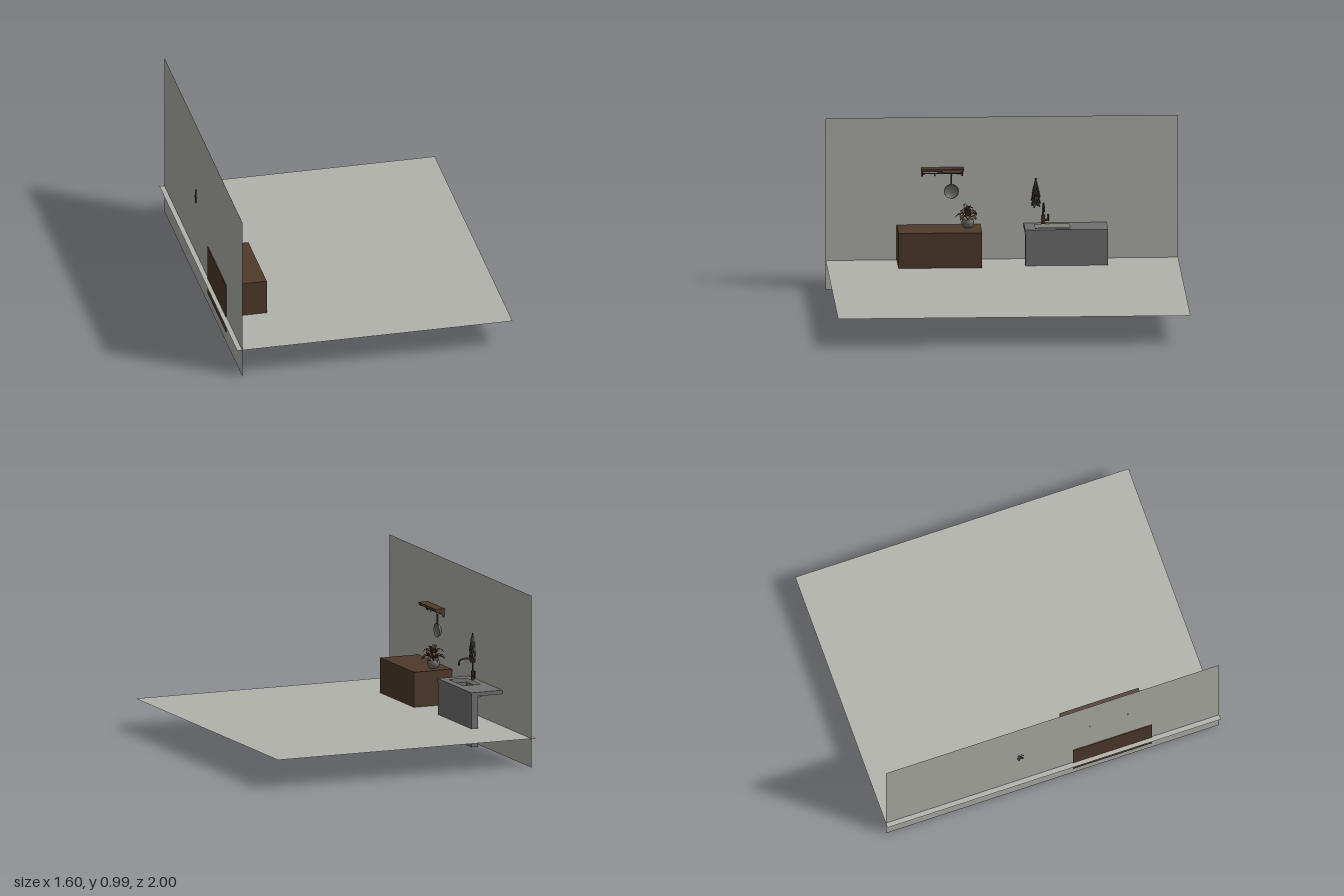
import * as THREE from 'three';

const mat = (name, color, side = THREE.FrontSide) => {
  const m = new THREE.MeshStandardMaterial({ color, side });
  m.name = name;
  return m;
};

export function createModel() {
  const root = new THREE.Group();
  root.name = 'kitchenCorner';
  const plaster = mat('plaster', 0xb2b2ac, THREE.DoubleSide);
  const wood = mat('wood', 0x4f3a2b);
  const stone = mat('stone', 0x707070);
  const bronze = mat('bronze', 0x443222);
  const steel = mat('steel', 0x6a6a68);
  const leafMat = mat('leaf', 0x4e3824, THREE.DoubleSide);
  const herbMat = mat('driedHerb', 0x433b32, THREE.DoubleSide);

  const add = (name, geo, material, x = 0, y = 0, z = 0, parent = root) => {
    const m = new THREE.Mesh(geo, material);
    m.name = name;
    m.position.set(x, y, z);
    parent.add(m);
    return m;
  };
  // Box given by its minimum and maximum corners
  const box = (name, a, b, material, parent) => add(name,
    new THREE.BoxGeometry(b[0] - a[0], b[1] - a[1], b[2] - a[2]), material,
    (a[0] + b[0]) / 2, (a[1] + b[1]) / 2, (a[2] + b[2]) / 2, parent);
  const tube = (name, pts, r, material, parent) => add(name, new THREE.TubeGeometry(
    new THREE.CatmullRomCurve3(pts.map(p => new THREE.Vector3(...p))), 28, r, 8),
    material, 0, 0, 0, parent);

  // Floor and wall sheets
  add('floor', new THREE.PlaneGeometry(1.6, 2).rotateX(-Math.PI / 2), plaster, 0, 0.167, 0);
  add('wall', new THREE.PlaneGeometry(2, 0.992).rotateY(Math.PI / 2), plaster, -0.771, 0.496, 0);

  // Cabinet
  box('cabinet', [-0.775, 0.07, 0.122], [-0.537, 0.37, 0.597], wood);

  // Sink counter: slab with a basin opening, front panel, basin
  const sink = new THREE.Group();
  sink.name = 'sinkCounter';
  root.add(sink);
  const slab = new THREE.Shape();
  const rect = (s, x0, x1, z0, z1) => {
    s.moveTo(x0, -z0); s.lineTo(x1, -z0); s.lineTo(x1, -z1); s.lineTo(x0, -z1); s.closePath();
  };
  rect(slab, -0.768, -0.576, -0.595, -0.123);
  const hole = new THREE.Path();
  rect(hole, -0.727, -0.621, -0.38, -0.184);
  slab.holes.push(hole);
  add('counterTop', new THREE.ExtrudeGeometry(slab, { depth: 0.022, bevelEnabled: false })
    .rotateX(-Math.PI / 2), stone, 0, 0.353, 0, sink);
  box('frontPanel', [-0.618, 0.06, -0.593], [-0.577, 0.353, -0.125], stone, sink);
  const t = 0.004, y0 = 0.305, y1 = 0.354;
  box('basinFloor', [-0.727 - t, y0 - t, -0.38 - t], [-0.621 + t, y0, -0.184 + t], stone, sink);
  for (const [x, s] of [[-0.727, -1], [-0.621, 1]]) {
    const a = Math.min(x, x + s * t);
    box('basinSide', [a, y0, -0.38 - t], [a + t, y1, -0.184 + t], stone, sink);
  }
  for (const [z, s] of [[-0.38, -1], [-0.184, 1]]) {
    const a = Math.min(z, z + s * t);
    box('basinEnd', [-0.727, y0, a], [-0.621, y1, a + t], stone, sink);
  }

  // Faucet: base, arched spout and side lever
  const faucet = new THREE.Group();
  faucet.name = 'faucet';
  root.add(faucet);
  add('faucetBase', new THREE.CylinderGeometry(0.01, 0.011, 0.05, 16), bronze, -0.744, 0.4, -0.234, faucet);
  tube('spout', [[-0.744, 0.41, -0.234], [-0.744, 0.465, -0.234], [-0.736, 0.49, -0.234],
    [-0.718, 0.498, -0.234], [-0.68, 0.498, -0.234], [-0.663, 0.49, -0.234], [-0.658, 0.462, -0.234]],
  0.005, bronze, faucet);
  tube('leverArm', [[-0.744, 0.395, -0.234], [-0.744, 0.395, -0.262]], 0.006, bronze, faucet);
  tube('leverHandle', [[-0.744, 0.39, -0.262], [-0.744, 0.43, -0.262]], 0.004, bronze, faucet);

  // Wall shelf with curved brackets and hanging rail
  const shelf = new THREE.Group();
  shelf.name = 'wallShelf';
  root.add(shelf);
  box('shelfBoard', [-0.77, 0.688, 0.217], [-0.713, 0.702, 0.46], wood, shelf);
  const bracket = new THREE.Shape();
  bracket.moveTo(-0.771, 0.688);
  bracket.lineTo(-0.771, 0.652);
  bracket.lineTo(-0.762, 0.652);
  bracket.quadraticCurveTo(-0.757, 0.678, -0.722, 0.68);
  bracket.lineTo(-0.722, 0.688);
  for (const z of [0.222, 0.449]) {
    add('shelfBracket', new THREE.ExtrudeGeometry(bracket, { depth: 0.006, bevelEnabled: false }),
      wood, 0, 0, z, shelf);
  }
  tube('hangingRail', [[-0.757, 0.669, 0.22], [-0.757, 0.669, 0.455]], 0.004, bronze, shelf);
  for (const z of [0.287, 0.38]) {
    tube('railHook', [[-0.753, 0.673, z], [-0.751, 0.665, z], [-0.753, 0.656, z], [-0.758, 0.657, z]],
      0.002, bronze, shelf);
  }

  // Hanging pan: shallow dish facing the room, with a handle
  const pan = new THREE.Group();
  pan.name = 'hangingPan';
  pan.position.set(-0.766, 0.566, 0.287);
  root.add(pan);
  const panProfile = [[0, 0], [0.032, 0], [0.041, 0.017], [0.038, 0.017], [0.03, 0.004], [0, 0.004]]
    .map(p => new THREE.Vector2(...p));
  add('panDish', new THREE.LatheGeometry(panProfile, 28).rotateZ(-Math.PI / 2), steel, 0, 0, 0, pan);
  box('panHandle', [0.009, 0.036, -0.004], [0.014, 0.094, 0.004], bronze, pan);

  // Potted plant
  const plant = new THREE.Group();
  plant.name = 'pottedPlant';
  plant.position.set(-0.69, 0.37, 0.197);
  root.add(plant);
  const potProfile = [[0, 0], [0.024, 0], [0.033, 0.014], [0.036, 0.03], [0.032, 0.048],
    [0.028, 0.048], [0.027, 0.04], [0, 0.04]].map(p => new THREE.Vector2(...p));
  add('pot', new THREE.LatheGeometry(potProfile, 24), steel, 0, 0, 0, plant);

  // Arching leaf: a sheet swept along a quadratic curve, widest past its middle
  const leafGeo = (reach, top, end, width) => {
    const g = new THREE.PlaneGeometry(1, 1, 4, 8);
    const p = g.attributes.position;
    const curve = new THREE.QuadraticBezierCurve(new THREE.Vector2(0, 0.04),
      new THREE.Vector2(reach * 0.45, top), new THREE.Vector2(reach, end));
    for (let i = 0; i < p.count; i++) {
      const s = p.getY(i) + 0.5, v = p.getX(i) * 2;
      const c = curve.getPoint(s);
      const w = width * (0.08 + 0.92 * Math.sin(Math.PI * Math.pow(s, 1.4))) * (s > 0.99 ? 0.1 : 1);
      p.setXYZ(i, c.x, c.y + 0.004 * v * v, v * w);
    }
    g.computeVertexNormals();
    return g;
  };
  const rings = [
    [8, 0.072, 0.105, 0.055, 0.018, 0],
    [7, 0.062, 0.145, 0.085, 0.016, 0.4],
    [5, 0.034, 0.15, 0.122, 0.013, 0.2],
  ];
  for (const [n, reach, top, end, width, turn] of rings) {
    for (let i = 0; i < n; i++) {
      const k = 1 - 0.12 * (i % 3);
      add('leaf', leafGeo(reach * k, top * k, end * k, width), leafMat, 0, 0, 0, plant)
        .rotation.y = turn + (i / n) * Math.PI * 2;
    }
  }

  // Bunch of dried herbs hanging on the wall
  const herbs = new THREE.Group();
  herbs.name = 'herbBunch';
  herbs.position.set(-0.761, 0, -0.192);
  root.add(herbs);
  tube('herbStem', [[0, 0.635, 0], [0, 0.59, 0.002], [0, 0.5, 0]], 0.004, herbMat, herbs);
  const blade = new THREE.SphereGeometry(1, 8, 6);
  for (let i = 0; i < 30; i++) {
    const f = i / 29, a = i * 2.4;
    const spread = 0.004 + 0.016 * Math.sin(Math.PI * Math.min(1, f * 0.72));
    const m = add('herbLeaf', blade, herbMat, Math.cos(a) * spread * 0.55,
      0.605 - 0.122 * f, Math.sin(a) * spread, herbs);
    m.scale.set(0.004, 0.021, 0.007);
    m.rotation.set(-Math.sin(a) * 0.3, a, 0);
  }
  return root;
}
